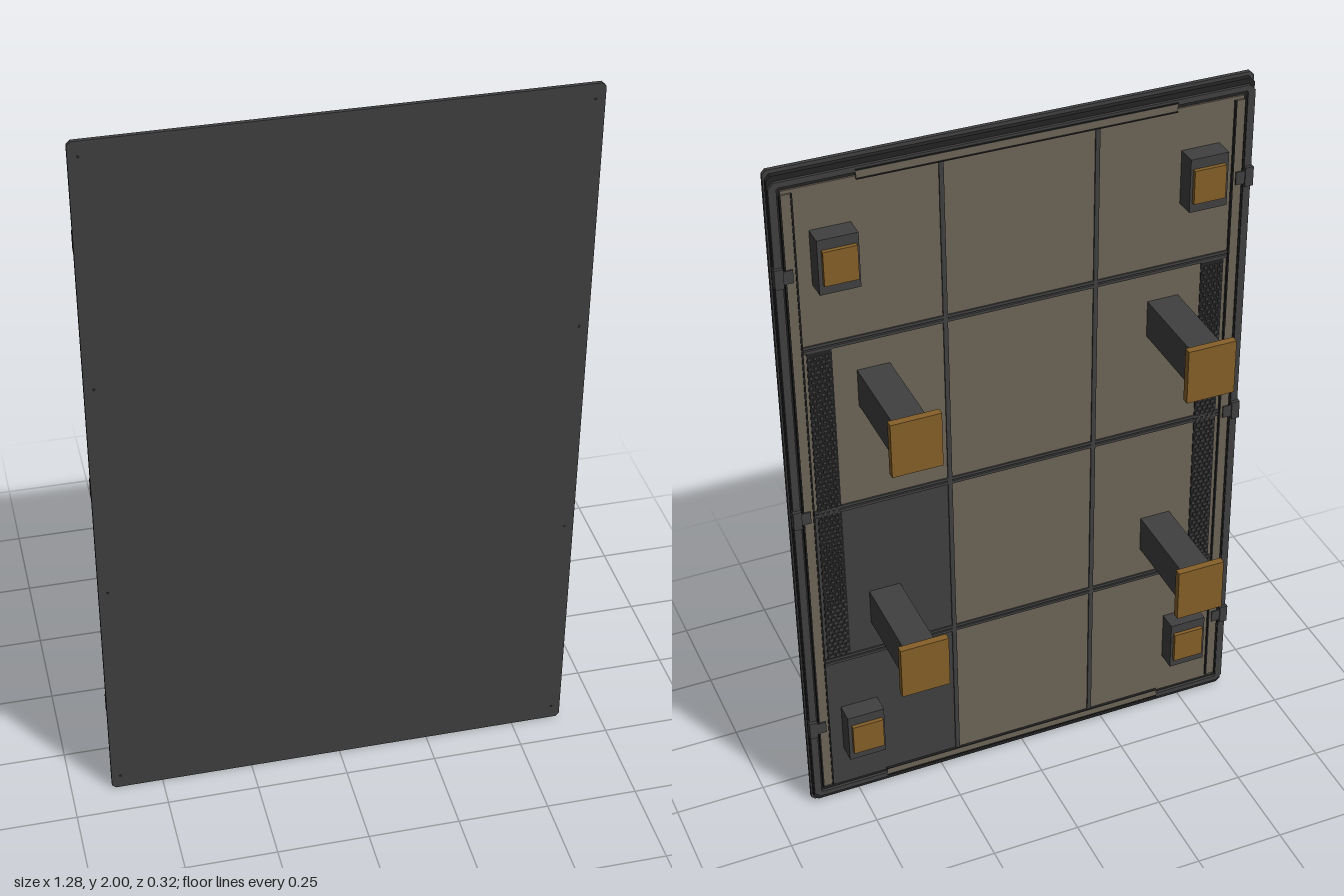
import * as THREE from 'three';
import { mergeGeometries } from 'three/addons/utils/BufferGeometryUtils.js';

const dark = new THREE.MeshStandardMaterial({ name: 'charcoal', color: 0x404040 });
const black = new THREE.MeshStandardMaterial({ name: 'blackTrim', color: 0x232323 });
const beige = new THREE.MeshStandardMaterial({ name: 'warmGrey', color: 0x6c6457 });
const gold = new THREE.MeshStandardMaterial({ name: 'ochre', color: 0x855f28 });

// Box given by its minimum and maximum corners
function boxGeo(x0, x1, y0, y1, z0, z1) {
  return new THREE.BoxGeometry(x1 - x0, y1 - y0, z1 - z0)
    .translate((x0 + x1) / 2, (y0 + y1) / 2, (z0 + z1) / 2);
}

// Rectangle outline with cut corners, centred on the panel
function outline(w, h, cut) {
  const x = w / 2, y = h / 2;
  return new THREE.Shape([
    [-x + cut, -y], [x - cut, -y], [x, -y + cut], [x, y - cut],
    [x - cut, y], [-x + cut, y], [-x, y - cut], [-x, -y + cut],
  ].map(([a, b]) => new THREE.Vector2(a, b)));
}

function slab(w, h, cut, z0, z1, hole) {
  const shape = outline(w, h, cut);
  if (hole) shape.holes.push(outline(hole[0], hole[1], 0.004));
  return new THREE.ExtrudeGeometry(shape, { depth: z1 - z0, bevelEnabled: false }).translate(0, 1, z0);
}

export function createModel() {
  const group = new THREE.Group();
  const add = (name, geo, mat, parent = group) => {
    const mesh = new THREE.Mesh(geo, mat);
    mesh.name = name;
    parent.add(mesh);
    return mesh;
  };
  const box = (name, mat, ...b) => add(name, boxGeo(...b), mat);

  // Front sheet, stepped body and raised rim
  add('frontSheet', slab(1.28, 2, 0.01, 0.149, 0.16), dark);
  add('bodyCore', slab(1.272, 1.98, 0.012, 0.135, 0.149), black);
  add('rearRim', slab(1.27, 1.95, 0.015, 0.127, 0.135, [1.23, 1.92]), dark);

  // Rear panels: three columns, four rows, two cells left dark
  const xs = [-0.612, -0.205, 0.205, 0.612], ys = [0.045, 0.5, 1, 1.5, 1.955], gap = 0.006;
  for (let c = 0; c < 3; c++) for (let r = 0; r < 4; r++) {
    box('rearPanel', c === 2 && r < 2 ? dark : beige,
      xs[c] + gap, xs[c + 1] - gap, ys[r] + gap, ys[r + 1] - gap, 0.13, 0.135);
  }

  // Ribs covering the panel joints
  for (const x of [-0.205, 0.205]) box('verticalRib', dark, x - 0.006, x + 0.006, 0.045, 1.955, 0.126, 0.135);
  for (const y of [0.5, 1, 1.5]) {
    for (const o of [-0.006, 0.006])
      box('horizontalRib', dark, -0.58, 0.58, y + o - 0.004, y + o + 0.004, 0.126, 0.135);
  }

  // Top and bottom rails
  for (const y of [0.045, 1.955]) {
    box('crossRail', beige, -0.42, 0.42, y - 0.01, y + 0.01, 0.125, 0.13);
    box('crossRailLip', black, -0.42, 0.42, y - 0.013, y - 0.01, 0.123, 0.13);
    box('crossRailLip', black, -0.42, 0.42, y + 0.01, y + 0.013, 0.123, 0.13);
  }

  for (const s of [-1, 1]) {
    const side = (name, mat, x0, x1, ...b) => box(name, mat, ...(s > 0 ? [x0, x1] : [-x1, -x0]), ...b);

    // Side rail with dark lips
    side('sideRail', beige, 0.583, 0.607, 0.06, 1.94, 0.125, 0.13);
    side('sideRailLip', black, 0.579, 0.583, 0.06, 1.94, 0.122, 0.13);
    side('sideRailLip', black, 0.607, 0.611, 0.06, 1.94, 0.122, 0.13);

    // Textured grip strip: backing with staggered studs
    side('gripStrip', black, 0.505, 0.57, 0.51, 1.49, 0.128, 0.131);
    const studs = [];
    for (let r = 0; r < 70; r++) for (let c = 0; c < 4; c++) {
      const x = s * (0.5125 + c * 0.015 + (r % 2) * 0.006), y = 0.52 + r * 0.0138;
      studs.push(boxGeo(x - 0.004, x + 0.004, y - 0.004, y + 0.004, 0.125, 0.129));
    }
    add('gripStuds', mergeGeometries(studs), dark);

    // Edge clips
    for (const y of [0.28, 1, 1.72]) {
      side('edgeClip', dark, 0.615, 0.638, y - 0.027, y + 0.027, 0.118, 0.14);
      side('clipArm', dark, 0.59, 0.615, y - 0.018, y + 0.018, 0.121, 0.128);
    }

    // Long posts with square end plates
    for (const y of [0.65, 1.355]) {
      side('post', dark, 0.355, 0.442, y - 0.053, y + 0.053, -0.14, 0.135);
      side('postPlate', gold, 0.33, 0.463, y - 0.077, y + 0.077, -0.16, -0.14);
    }

    // Corner blocks with pads
    for (const y of [0.253, 1.755]) {
      side('cornerBlock', dark, 0.437, 0.542, y - 0.075, y + 0.075, 0.076, 0.135);
      side('cornerPad', gold, 0.444, 0.532, y - 0.047, y + 0.047, 0.065, 0.076);
    }

    // Small fasteners along the front edges
    for (const y of [0.04, 0.685, 1.32, 1.96]) {
      const disc = new THREE.CylinderGeometry(0.004, 0.004, 0.001, 10)
        .rotateX(Math.PI / 2).translate(s * 0.615, y, 0.16);
      add('fastener', disc, black);
    }
  }
  return group;
}
